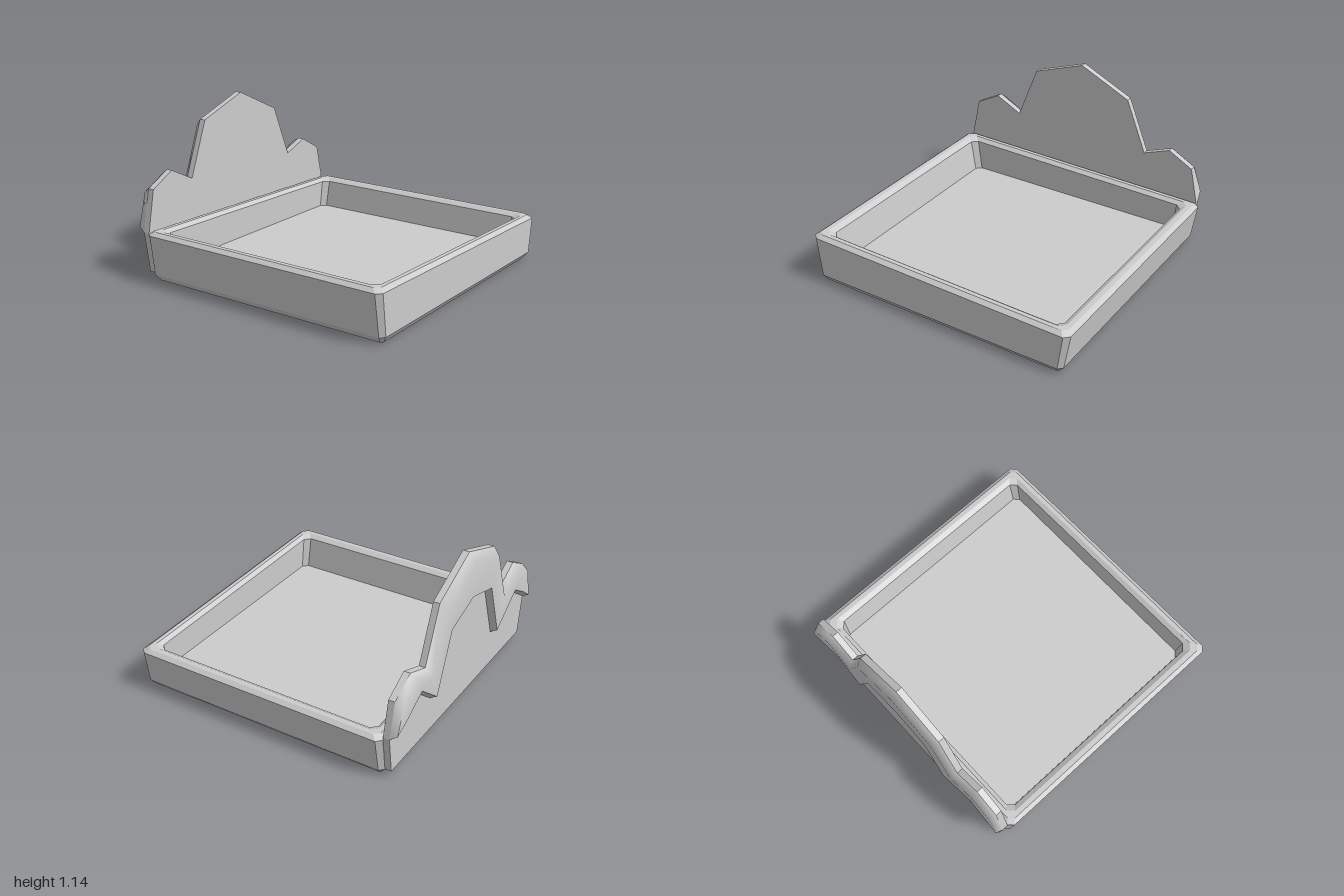
import * as THREE from 'three';

const grey = (opts = {}) => new THREE.MeshStandardMaterial({ color: 0xcccccc, ...opts });

// Skin a list of equally long point rows; optionally close each row and cap both ends
function loft(rows, closed = false) {
  const n = rows[0].length, index = [];
  for (let r = 0; r < rows.length - 1; r++) {
    for (let k = 0; k < (closed ? n : n - 1); k++) {
      const k2 = (k + 1) % n;
      const a = r * n + k, b = r * n + k2, c = b + n, d = a + n;
      index.push(a, b, c, a, c, d);
    }
  }
  if (closed) {
    const last = (rows.length - 1) * n;
    for (let k = 1; k < n - 1; k++) {
      index.push(0, k + 1, k, last, last + k, last + k + 1);
    }
  }
  const g = new THREE.BufferGeometry();
  g.setAttribute('position', new THREE.Float32BufferAttribute(rows.flat(2), 3));
  g.setIndex(index);
  g.computeVertexNormals();
  return g;
}

// Rectangle with cut corners; tilt lowers the +x side
function ring(hx, hz, cut, y, tilt = 0) {
  const corners = [
    [hx, hz - cut], [hx, -hz + cut], [hx - cut, -hz], [-hx + cut, -hz],
    [-hx, -hz + cut], [-hx, hz - cut], [-hx + cut, hz], [hx - cut, hz],
  ];
  return corners.map(([x, z]) => [x, y - tilt * x, z + 0.045]);
}

export function createModel() {
  const model = new THREE.Group();
  const add = (name, geometry, material) => {
    const mesh = new THREE.Mesh(geometry, material);
    mesh.name = name;
    model.add(mesh);
  };

  // Tray: outer wall upward, over the bevelled rim, down the inner wall to the floor
  add('tray', loft([
    ring(0.925, 0.905, 0.015, 0),
    ring(0.96, 0.935, 0.03, 0.043, 0.002),
    ring(1.0, 0.935, 0.035, 0.31, 0.021),
    ring(0.97, 0.905, 0.035, 0.333, 0.022),
    ring(0.935, 0.875, 0.04, 0.333, 0.022),
    ring(0.9, 0.845, 0.04, 0.31, 0.021),
    ring(0.865, 0.845, 0.035, 0.1),
  ], true), grey({ flatShading: true }));

  // Cloud-shaped back board
  const outline = [
    [-0.97, 0.33], [-0.91, 0.625], [-0.73, 0.72], [-0.535, 0.62], [-0.385, 1.005], [0, 1.14],
    [0.38, 0.96], [0.535, 0.58], [0.73, 0.655], [0.91, 0.555], [0.965, 0.31],
  ];
  const shape = new THREE.Shape(
    [[-0.93, 0.045], [0.93, 0.045], ...outline.slice().reverse()].map(([x, y]) => new THREE.Vector2(x, y)));
  const board = new THREE.ExtrudeGeometry(shape, { depth: 0.045, bevelEnabled: false });
  board.translate(0, 0, -0.935);
  add('backBoard', board, grey());

  // Raised band behind the board, following its top edge
  const inner = [
    [-0.96, 0.36], [-0.85, 0.44], [-0.7, 0.53], [-0.43, 0.345], [-0.28, 0.755], [0, 0.83],
    [0.285, 0.74], [0.45, 0.33], [0.66, 0.5], [0.83, 0.4], [0.955, 0.345],
  ];
  const at = (points, z) => points.map(([x, y]) => [x, y, z]);
  const ridge = outline.map(([x, y], i) => [
    x + (inner[i][0] - x) * 0.2, y + (inner[i][1] - y) * 0.2]);
  ridge[0] = inner[0];
  ridge[10] = inner[10];
  add('backBand', loft([at(outline, -0.935), at(ridge, -0.985), at(inner, -0.985)]),
    grey({ side: THREE.DoubleSide }));

  // Step from the band down to the board; its ends meet the outline
  const foot = inner.map(([x, y]) => [x, y - 0.03]);
  foot[0] = outline[0];
  foot[10] = outline[10];
  add('bandStep', loft([at(inner, -0.985), at(foot, -0.935)]),
    grey({ flatShading: true, side: THREE.DoubleSide }));

  return model;
}
